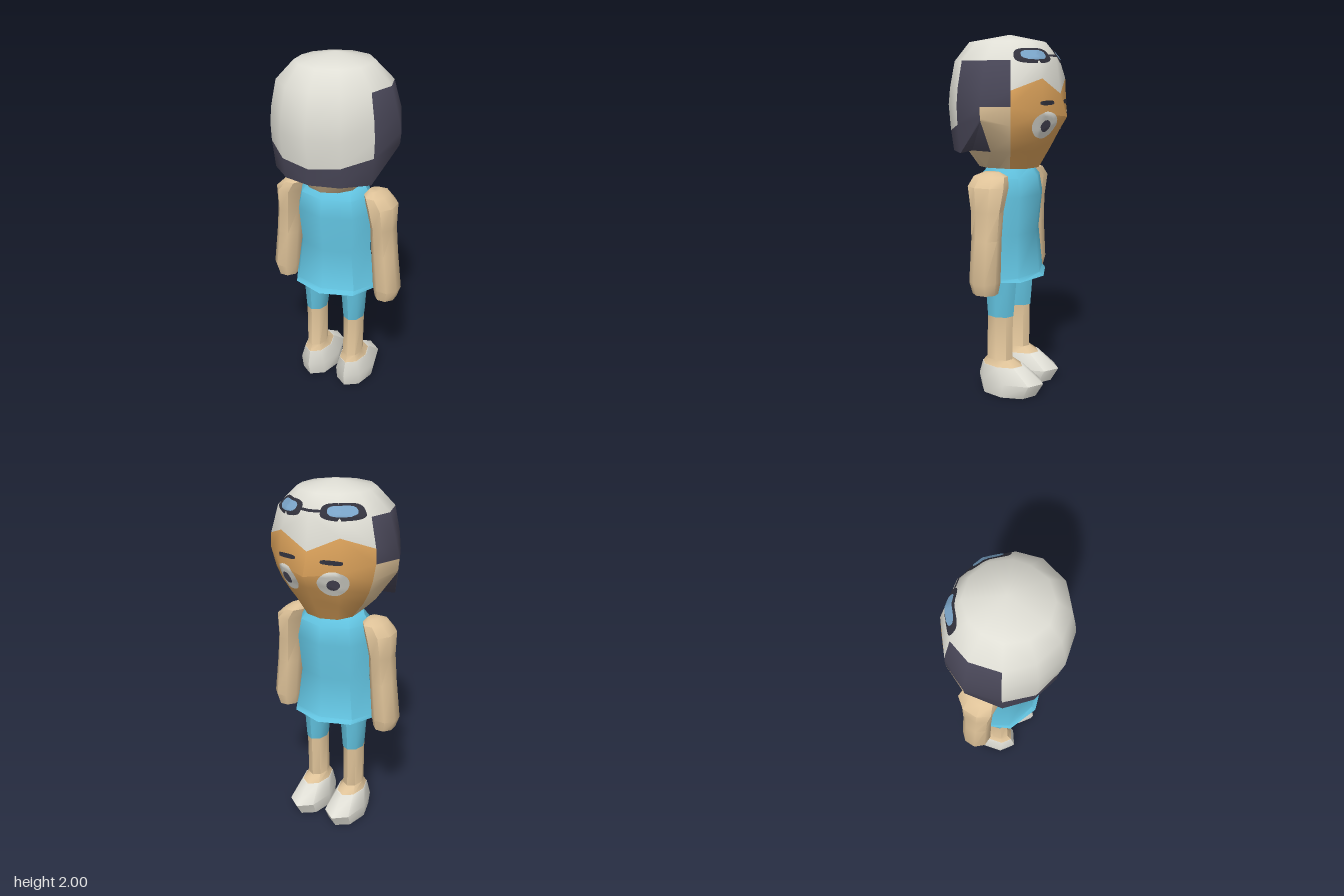
import * as THREE from 'three';
import { toCreasedNormals } from 'three/addons/utils/BufferGeometryUtils.js';

const mat = (name, color) => Object.assign(new THREE.MeshStandardMaterial({ color }), { name });

function makeGeometry(points, index) {
  const g = new THREE.BufferGeometry();
  g.setAttribute('position', new THREE.Float32BufferAttribute(points, 3));
  g.setIndex(index);
  return g;
}

// Closed loft through rings [y, centreX, centreZ, halfX, halfZ], listed bottom to top
function loft(name, rings, sides, material, phase = 0) {
  const p = [], index = [], n = rings.length;
  for (const [y, cx, cz, hx, hz] of rings)
    for (let i = 0; i < sides; i++) {
      const a = ((i + phase) / sides) * Math.PI * 2;
      p.push(cx + hx * Math.cos(a), y, cz + hz * Math.sin(a));
    }
  for (let r = 0; r < n - 1; r++)
    for (let i = 0; i < sides; i++) {
      const j = (i + 1) % sides, a = r * sides + i, b = r * sides + j;
      index.push(a, a + sides, b, b, a + sides, b + sides);
    }
  const top = (n - 1) * sides;
  for (let i = 1; i < sides - 1; i++) {
    index.push(0, i, i + 1);
    index.push(top, top + i + 1, top + i);
  }
  const mesh = new THREE.Mesh(toCreasedNormals(makeGeometry(p, index), 0.85), material);
  mesh.name = name;
  return mesh;
}

// Head: half columns from face centre round to the back, each a profile of [y, radius]
const DIRS = [[0, -1], [0.55, -0.84], [0.905, -0.42], [1, 0], [0.87, 0.49], [0.505, 0.863], [0, 1]];
const COLUMNS = [
  [[1.96, .2], [1.87, .27], [1.69, .295], [1.57, .335], [1.5, .293], [1.44, .258], [1.39, .228], [1.29, .17]],
  [[1.96, .2], [1.87, .275], [1.77, .308], [1.59, .318], [1.5, .285], [1.44, .255], [1.39, .228], [1.29, .17]],
  [[1.96, .2], [1.86, .3], [1.71, .342], [1.63, .345], [1.53, .32], [1.46, .29], [1.39, .245], [1.29, .155]],
  [[1.96, .2], [1.86, .31], [1.72, .35], [1.63, .372], [1.57, .367], [1.555, .362], [1.39, .245], [1.29, .14]],
  [[1.96, .215], [1.86, .31], [1.72, .338], [1.63, .346], [1.53, .342], [1.38, .325], [1.39, .25], [1.29, .16]],
  [[1.96, .22], [1.86, .3], [1.72, .327], [1.63, .336], [1.49, .325], [1.38, .31], [1.39, .24], [1.29, .17]],
  [[1.96, .225], [1.86, .295], [1.72, .325], [1.63, .335], [1.47, .31], [1.38, .305], [1.39, .235], [1.29, .18]],
];

// Colour slot of a head cell: 0 cap, 1 hair, 2 face, 3 skin
function headSlot(col, row) {
  if (row === 8) return 3;
  if (col < 2) return row < 3 ? 0 : 2;
  if (col === 2) return row < 2 ? 0 : row < 4 ? 1 : 3;
  if (col === 3) return row < 2 ? 0 : row < 7 ? 1 : 3;
  return row < 5 ? 0 : row < 7 ? 1 : 3;
}

function makeHead(materials) {
  const p = [], slots = [[], [], [], []], rows = 10;
  for (let j = 0; j < 12; j++) {
    const k = j <= 6 ? j : 12 - j, s = j <= 6 ? 1 : -1;
    for (const [y, r] of [[2, 0], ...COLUMNS[k], [1.29, 0]])
      p.push(s * DIRS[k][0] * r, y, DIRS[k][1] * r);
  }
  for (let j = 0; j < 12; j++)
    for (let r = 0; r < rows - 1; r++) {
      const a = j * rows + r, b = ((j + 1) % 12) * rows + r, c = b + 1, d = a + 1;
      const out = slots[headSlot(j < 6 ? j : 11 - j, r)];
      if (r === 0) out.push(a, c, d);
      else if (r === rows - 2) out.push(a, b, c);
      else if (j < 6) out.push(a, b, c, a, c, d);
      else out.push(a, b, d, b, c, d);
    }
  const g = makeGeometry(p, slots.flat());
  let start = 0;
  slots.forEach((s, i) => { g.addGroup(start, s.length, i); start += s.length; });
  const head = new THREE.Mesh(toCreasedNormals(g, 0.85), materials);
  head.name = 'head';
  return head;
}

// Thin painted patch wrapped on the head: rounded outline in (angle from face centre, height)
function patch(name, head, material, angle, halfAngle, y, halfY, lift, power = 1) {
  const p = [], index = [], rings = 6, seg = 32, ray = new THREE.Raycaster();
  const soft = (v) => Math.sign(v) * Math.abs(v) ** power;
  for (let r = 0; r <= rings; r++)
    for (let i = 0; i < seg; i++) {
      const t = (i / seg) * Math.PI * 2, k = Math.max(r / rings, 0.01);
      const a = THREE.MathUtils.degToRad(angle + halfAngle * k * soft(Math.cos(t)));
      const dir = new THREE.Vector3(Math.sin(a), 0, -Math.cos(a));
      const from = dir.clone().setY(y + halfY * k * soft(Math.sin(t)));
      ray.set(from, dir.clone().negate());
      const hit = ray.intersectObject(head)[0];
      const q = hit.point.addScaledVector(hit.face.normal, lift);
      p.push(q.x, q.y, q.z);
    }
  for (let r = 0; r < rings; r++)
    for (let i = 0; i < seg; i++) {
      const j = (i + 1) % seg, a = r * seg + i, b = r * seg + j;
      index.push(a, b, a + seg, b, b + seg, a + seg);
    }
  const g = makeGeometry(p, index);
  g.computeVertexNormals();
  const mesh = new THREE.Mesh(g, material);
  mesh.name = name;
  return mesh;
}

export function createModel() {
  const model = new THREE.Group();
  model.name = 'swimmer';
  const white = mat('offWhite', 0xdfded5);
  const hair = mat('darkHair', 0x484657);
  const face = mat('tannedFace', 0xdea45c);
  const skin = mat('skin', 0xdfc399);
  const cloth = mat('blueCloth', 0x62c3e0);
  const rim = mat('goggleRim', 0x32323d);
  const lens = mat('goggleLens', 0x7ba5c9);
  const ink = mat('pupil', 0x4a4858);

  const head = makeHead([white, hair, face, skin]);
  model.add(head);

  // Dress with flared hem
  model.add(loft('dress', [
    [0.675, 0, 0, 0.255, 0.208], [0.695, 0, 0, 0.25, 0.182], [0.93, 0, 0, 0.215, 0.16],
    [1.14, 0, 0, 0.232, 0.184], [1.24, 0, 0, 0.212, 0.166], [1.29, 0, 0, 0.18, 0.115],
  ], 8, cloth));

  // Goggle bridge
  model.add(patch('goggleBridge', head, rim, 0, 14, 1.885, 0.006, 0.003, 0.4));

  for (const s of [1, -1]) {
    const m = (rings) => rings.map(([y, cx, ...rest]) => [y, s * cx, ...rest]);

    // Face details and goggles
    model.add(patch('goggleFrame', head, rim, s * 37, 25, 1.884, 0.038, 0.003, 0.65));
    model.add(patch('goggleLens', head, lens, s * 37, 17, 1.887, 0.023, 0.006, 0.7));
    model.add(patch('eye', head, white, s * 27, 16, 1.53, 0.07, 0.003));
    model.add(patch('pupil', head, ink, s * 27, 6.5, 1.528, 0.031, 0.006));
    model.add(patch('eyebrow', head, rim, s * 25, 11, 1.645, 0.012, 0.003, 0.6));

    // Arm
    model.add(loft('arm', m([
      [0.635, 0.318, 0, 0.061, 0.07], [0.7, 0.324, 0, 0.078, 0.085], [0.93, 0.302, 0, 0.073, 0.082],
      [1.08, 0.291, 0, 0.07, 0.09], [1.21, 0.278, 0, 0.084, 0.113],
      [1.262, 0.245, 0, 0.062, 0.096], [1.283, 0.232, 0, 0.03, 0.045],
    ]), 8, skin, 0.5));

    // Leg, shorts and shoe
    model.add(loft('shortsLeg', m([
      [0.455, 0.122, 0.003, 0.06, 0.08], [0.7, 0.12, 0.003, 0.077, 0.1],
    ]), 8, cloth));
    model.add(loft('lowerLeg', m([
      [0.163, 0.12, -0.01, 0.078, 0.125], [0.197, 0.12, 0.008, 0.056, 0.08],
      [0.46, 0.122, 0.005, 0.058, 0.078],
    ]), 8, skin));
    model.add(loft('shoe', m([
      [0, 0.118, -0.045, 0.104, 0.168], [0.08, 0.12, -0.06, 0.111, 0.2],
      [0.165, 0.12, -0.012, 0.079, 0.128],
    ]), 8, white));
  }
  return model;
}
